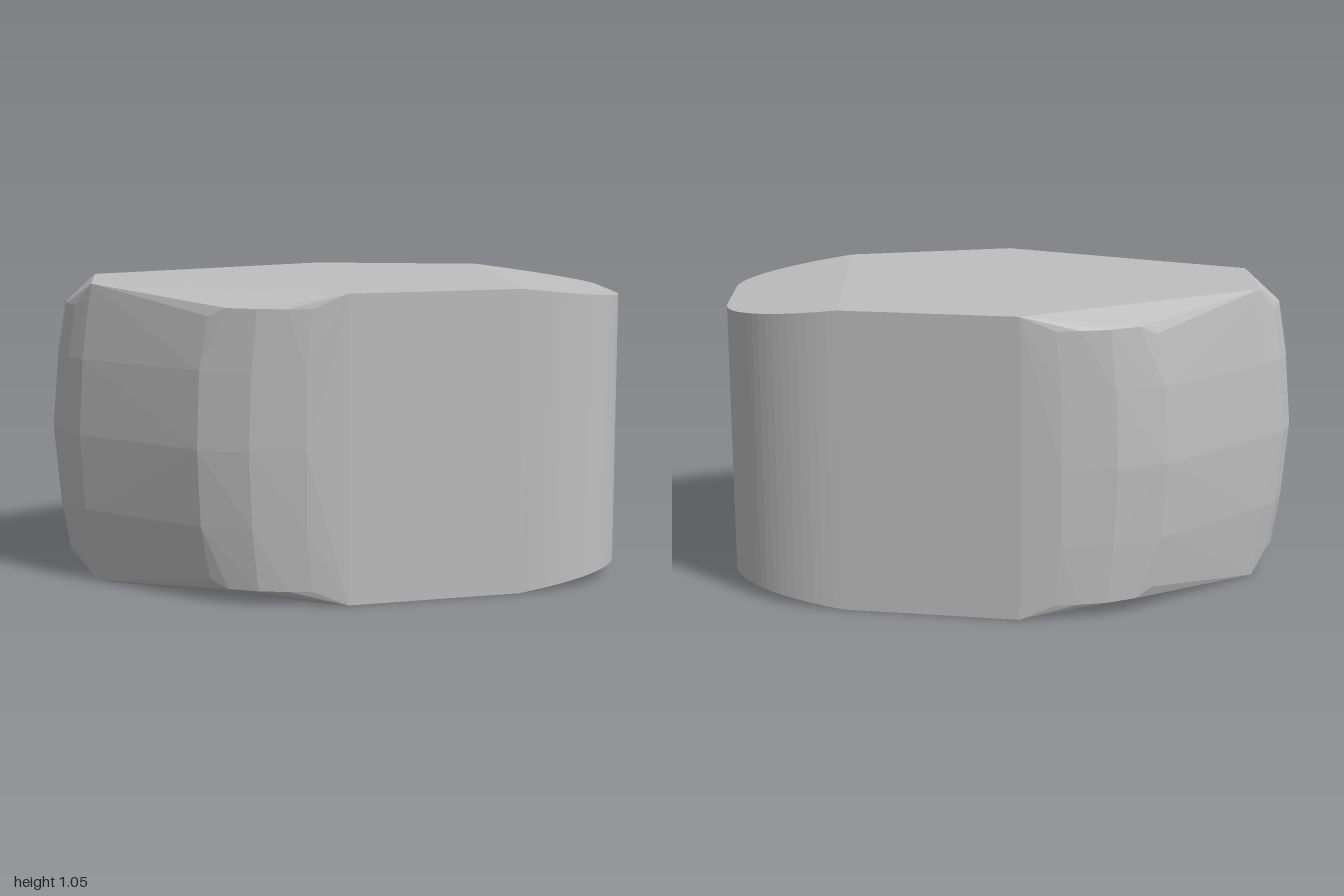
import * as THREE from 'three';
import { ConvexGeometry } from 'three/addons/geometries/ConvexGeometry.js';

const HEIGHT = 1.05;

export function createModel() {
  const grey = new THREE.MeshStandardMaterial({ color: 0xbfbfbf });
  grey.name = 'plain grey';
  grey.flatShading = true;

  const points = [];
  // Adds a point mirrored front to back and top to bottom
  const add = (x, y, z) => {
    for (const h of [y, HEIGHT - y]) {
      points.push(new THREE.Vector3(x, h, z));
      if (z > 0) points.push(new THREE.Vector3(x, h, -z));
    }
  };

  // Rounded upright end, its rim dropping gently towards the tip
  const v = (x, z) => new THREE.Vector2(x, z);
  const arc = new THREE.CubicBezierCurve(v(0.6, 0.505), v(0.85, 0.455), v(1, 0.32), v(1, 0.15));
  for (const p of arc.getPoints(20)) add(p.x, HEIGHT - (0.05 * (p.x - 0.6)) / 0.4, p.y);

  // Flat cap: shoulders and blunt nose edge
  add(0, HEIGHT, 0.62);
  add(-0.85, HEIGHT, 0.19);

  // Bulging nose, as rings of [x, z] at rising heights
  const rings = [
    [0.525, [[-1, 0], [-0.99, 0.06], [-0.96, 0.13], [-0.9, 0.205], [-0.5, 0.545], [-0.33, 0.61], [-0.14, 0.632]]],
    [0.79, [[-0.978, 0], [-0.965, 0.07], [-0.935, 0.14], [-0.885, 0.205], [-0.49, 0.535], [-0.32, 0.605], [-0.14, 0.628]]],
    [0.97, [[-0.948, 0], [-0.938, 0.06], [-0.91, 0.13], [-0.865, 0.19], [-0.46, 0.525]]],
    [1.0, [[-0.4, 0.555], [-0.3, 0.598], [-0.2, 0.615], [-0.12, 0.622]]],
  ];
  for (const [y, ring] of rings) for (const [x, z] of ring) add(x, y, z);

  const body = new THREE.Mesh(new ConvexGeometry(points), grey);
  body.name = 'body';

  const group = new THREE.Group();
  group.name = 'roundedBlock';
  group.add(body);
  return group;
}
